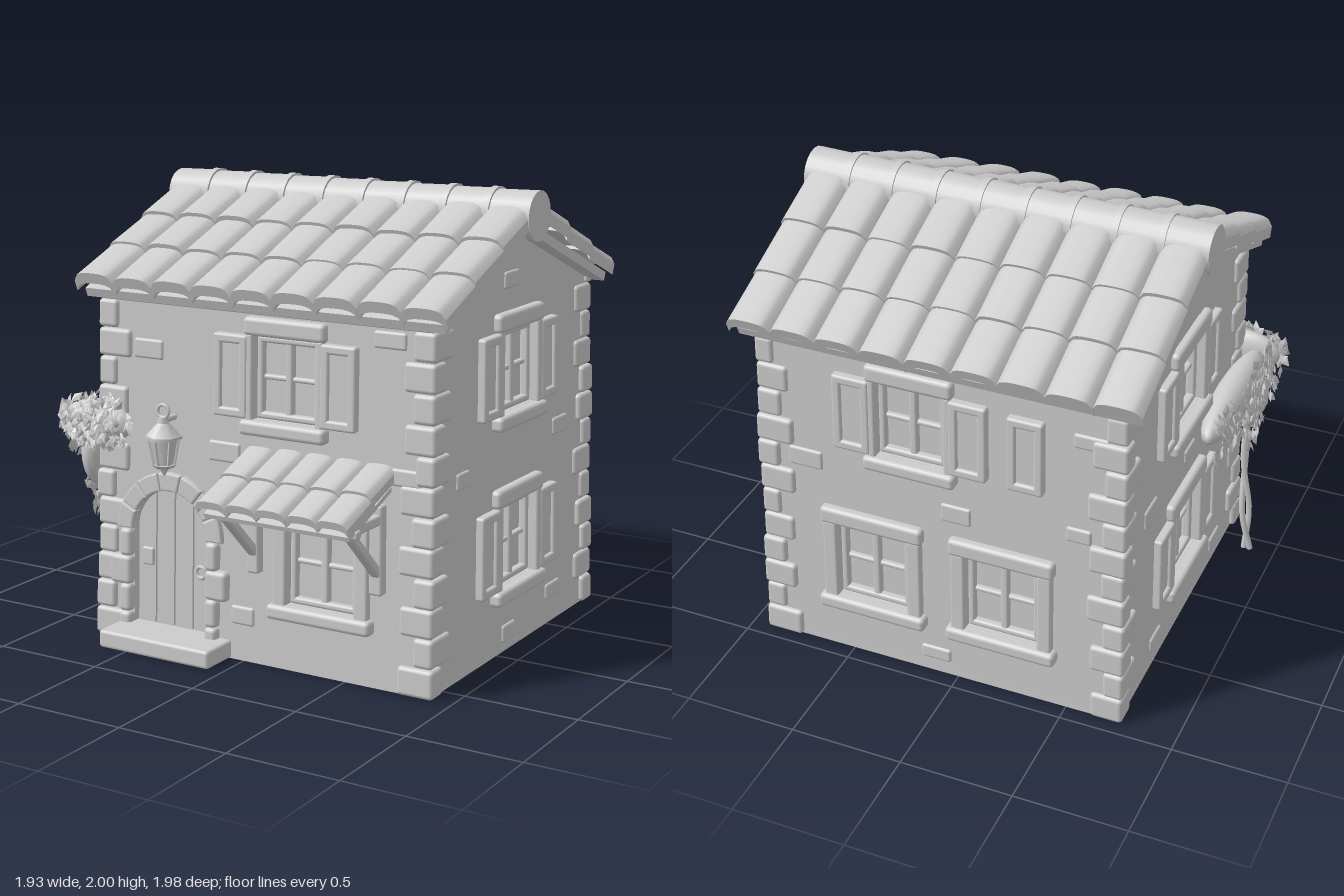
import * as THREE from 'three';
import { mergeGeometries } from 'three/addons/utils/BufferGeometryUtils.js';
import { RoundedBoxGeometry } from 'three/addons/geometries/RoundedBoxGeometry.js';

const CX = 0.08, CZ = -0.155, HX = 0.82, HZ = 0.775, EAVE = 1.54, APEX = 1.8;

export function createModel() {
  const house = new THREE.Group();
  house.name = 'cottage';
  const clay = new THREE.MeshStandardMaterial({ color: 0xcccccc, side: THREE.DoubleSide });
  clay.name = 'pale clay grey';
  let seed = 7;
  const rnd = (a = 0, b = 1) => {
    seed = (seed * 16807) % 2147483647;
    return a + (b - a) * seed / 2147483647;
  };
  const add = (name, geo, parent = house) => {
    const mesh = new THREE.Mesh(geo, clay);
    mesh.name = name;
    parent.add(mesh);
    return mesh;
  };
  const block = (w, h, d, r = 0.012) =>
    new RoundedBoxGeometry(w, h, d, 2, Math.min(r, w * 0.45, h * 0.45, d * 0.45));

  // The house narrows slightly towards the eaves
  const taper = geo => {
    const p = geo.attributes.position;
    for (let i = 0; i < p.count; i++) {
      const y = Math.min(p.getY(i), EAVE);
      p.setX(i, CX + (p.getX(i) - CX) * (1 - 0.016 * y));
      p.setZ(i, CZ + (p.getZ(i) - CZ) * (1 - 0.038 * y));
    }
    return geo;
  };

  // Wall frames: u runs along the wall, y up, d outwards
  const frame = (angle, x, z) => new THREE.Matrix4().makeRotationY(angle).setPosition(x, 0, z);
  const walls = {
    front: { m: frame(0, 0, CZ + HZ), u0: CX - HX, u1: CX + HX, holes: [] },
    right: { m: frame(Math.PI / 2, CX + HX, 0), u0: -CZ - HZ, u1: -CZ + HZ, gable: true, holes: [] },
    back: { m: frame(Math.PI, 0, CZ - HZ), u0: -CX - HX, u1: -CX + HX, holes: [] },
    left: { m: frame(-Math.PI / 2, CX - HX, 0), u0: CZ - HZ, u1: CZ + HZ, gable: true, holes: [] },
  };
  const onWall = (wall, name, geo, u = 0, y = 0, d = 0) =>
    add(name, taper(geo.translate(u, y, d).applyMatrix4(wall.m)));
  const poly = pts => new THREE.Shape(pts.map(p => new THREE.Vector2(p[0], p[1])));

  // Four-pane window with stone surround; y is the sill line, u the middle
  function addWindow(wall, u, y, w, h, surround, shutters) {
    const l = u - w / 2, r = u + w / 2, mid = y + h / 2, s = surround;
    wall.holes.push(poly([[l, y], [l, y + h], [r, y + h], [r, y]]));
    onWall(wall, 'windowPane', new THREE.BoxGeometry(w, h, 0.01), u, mid, -0.065);
    for (const k of [-1, 1]) {
      onWall(wall, 'windowFrameSide', block(0.03, h, 0.04), u + k * (w / 2 - 0.015), mid, -0.03);
      onWall(wall, 'windowFrameRail', block(w, 0.03, 0.04), u, mid + k * (h / 2 - 0.015), -0.03);
      onWall(wall, 'windowJamb', block(s, h + 0.02, 0.06), u + k * (w / 2 + s / 2), mid, 0.002);
    }
    onWall(wall, 'windowMullion', block(0.035, h, 0.04), u, mid, -0.035);
    onWall(wall, 'windowBar', block(w, 0.022, 0.03), u, mid, -0.04);
    onWall(wall, 'windowLintel', block(w + 2 * s + 0.02, 0.08, 0.07, 0.02), u, y + h + 0.04, 0.004);
    onWall(wall, 'windowSill', block(w + 2 * s + 0.04, 0.065, 0.09, 0.02), u, y - 0.033, 0.008);
    for (const k of shutters) addShutter(wall, u + k * (w / 2 + s + 0.075), mid, 0.17, h);
  }
  // Shutter with a raised border round a sunken panel
  function addShutter(wall, u, mid, w, h) {
    onWall(wall, 'shutterPanel', block(w - 0.02, h - 0.02, 0.03), u, mid, 0.005);
    for (const k of [-1, 1]) {
      onWall(wall, 'shutterStile', block(0.04, h, 0.05), u + k * (w / 2 - 0.02), mid, 0.012);
      onWall(wall, 'shutterRail', block(w, 0.04, 0.05), u, mid + k * (h / 2 - 0.02), 0.012);
    }
  }
  addWindow(walls.front, 0.205, 1.06, 0.31, 0.35, 0.035, [-1, 1]);
  addWindow(walls.front, 0.39, 0.29, 0.33, 0.37, 0.065, []);
  for (const [wall, u] of [[walls.right, 0.16], [walls.left, -0.16]]) {
    addWindow(wall, u, 1.06, 0.34, 0.35, 0.045, [-1, 1]);
    addWindow(wall, u, 0.3, 0.34, 0.36, 0.045, [-1, 1]);
  }
  addWindow(walls.back, -0.2, 1.06, 0.31, 0.35, 0.035, [-1, 1]);
  addShutter(walls.back, 0.32, 1.23, 0.16, 0.34);
  addWindow(walls.back, -0.39, 0.29, 0.33, 0.37, 0.065, []);
  addWindow(walls.back, 0.21, 0.29, 0.33, 0.37, 0.065, []);

  // Arched plank door
  const DU = -0.375, DR = 0.195, SPRING = 0.5;
  const archTop = x => SPRING + Math.sqrt(Math.max(0, DR * DR - x * x));
  const archStrip = (a, b) => {
    const pts = [[DU + a, 0.06]];
    for (let i = 0; i <= 16; i++) {
      const x = a + (b - a) * (1 - Math.cos(Math.PI * i / 16)) / 2;
      pts.push([DU + x, archTop(x)]);
    }
    pts.push([DU + b, 0.06]);
    return poly(pts);
  };
  const extrude = (shape, depth, bevel = 0) => new THREE.ExtrudeGeometry(shape, {
    depth, bevelEnabled: bevel > 0, bevelSize: bevel, bevelThickness: bevel, bevelOffset: -bevel, bevelSegments: 2,
  });
  walls.front.holes.push(archStrip(-DR, DR));
  onWall(walls.front, 'doorBack', extrude(archStrip(-DR, DR), 0.02), 0, 0, -0.065);
  for (let i = 0; i < 4; i++) {
    const a = -DR + i * DR / 2;
    onWall(walls.front, 'doorPlank', extrude(archStrip(a + 0.004, a + DR / 2 - 0.004), 0.02), 0, 0, -0.048);
  }
  onWall(walls.front, 'doorLock', block(0.06, 0.08, 0.02), -0.51, 0.38, -0.02);
  onWall(walls.front, 'doorHandle', new THREE.TorusGeometry(0.025, 0.009, 6, 14), -0.225, 0.35, -0.01);
  for (let i = 0; i < 7; i++) {
    const a = Math.PI * i / 7 + 0.008, b = Math.PI * (i + 1) / 7 - 0.008, pts = [];
    for (let j = 0; j <= 4; j++) pts.push([a + (b - a) * j / 4, DR]);
    for (let j = 4; j >= 0; j--) pts.push([a + (b - a) * j / 4, 0.275]);
    const stone = poly(pts.map(([t, r]) => [DU + r * Math.cos(t), SPRING + r * Math.sin(t)]));
    onWall(walls.front, 'doorArchStone', extrude(stone, 0.04, 0.008), 0, 0, -0.02);
  }
  for (const k of [-1, 1]) for (let i = 0; i < 4; i++) {
    const w = i === 2 ? 0.11 : 0.06;
    onWall(walls.front, 'doorJambStone', block(w, i === 2 ? 0.13 : 0.125, 0.07, 0.02),
      DU + k * (DR + w / 2), 0.065 + i * 0.125, 0.005);
  }
  add('doorStep', block(0.57, 0.08, 0.24, 0.015).translate(-0.345, 0.04, 0.68));

  // Walls with openings, and the floor that closes the base
  for (const [name, wall] of Object.entries(walls)) {
    const { u0, u1, gable } = wall;
    const shape = poly([[u0, 0], [u1, 0], [u1, EAVE], ...(gable ? [[(u0 + u1) / 2, APEX]] : []), [u0, EAVE]]);
    shape.holes.push(...wall.holes);
    onWall(wall, name + 'Wall', extrude(shape, 0.07), 0, 0, -0.07);
    if (!gable) onWall(wall, 'cornice', block(u1 - u0 + 0.03, 0.05, 0.06), (u0 + u1) / 2, 1.525, 0);
  }
  add('floor', new THREE.BoxGeometry(2 * HX, 0.02, 2 * HZ).translate(CX, 0.01, CZ));

  // Corner stones, alternating long and short
  for (const sx of [-1, 1]) for (const sz of [-1, 1]) for (let i = 0; i < 12; i++) {
    const long = i % 2 === 0, w = (long ? 0.16 : 0.1) + rnd(-0.015, 0.015), d = (long ? 0.1 : 0.16) + rnd(-0.015, 0.015);
    const out = rnd(0.015, 0.026);
    add('cornerStone', taper(block(w, 0.122, d, 0.018)
      .translate(CX + sx * (HX + out - w / 2), 0.0625 + i * 0.125, CZ + sz * (HZ + out - d / 2))));
  }
  // Stones showing through the plaster
  const patches = { front: [[-0.5, 1.3], [-0.1, 0.9], [0.78, 0.9], [0.0, 0.2], [0.7, 1.45]],
    right: [[-0.35, 0.85], [0.62, 0.9], [0.1, 0.08], [0.55, 0.15], [0.1, 1.62]],
    back: [[0.55, 0.9], [-0.7, 0.95], [0.0, 0.85], [0.6, 1.35], [-0.1, 0.1]],
    left: [[0.3, 0.1], [-0.6, 0.85], [-0.1, 0.85], [-0.5, 0.12], [-0.2, 1.62]] };
  for (const [name, list] of Object.entries(patches)) for (const [u, y] of list)
    onWall(walls[name], 'wallStone', block(rnd(0.1, 0.16), rnd(0.06, 0.09), 0.03), u, y, -0.004);

  // Row of barrel tiles; zl, yl is the lower edge, run and rise lead to the upper edge
  function tileRow(parent, name, x0, x1, cols, zl, yl, run, rise, amp, thick) {
    const w = (x1 - x0) / cols, len = Math.hypot(run, rise), parts = [];
    for (let c = 0; c < cols; c++) {
      const geo = new THREE.BoxGeometry(w * 1.01, thick, len + rnd(0, 0.015), 10, 1, 2), p = geo.attributes.position;
      for (let i = 0; i < p.count; i++) {
        const u = Math.min(1, Math.abs(p.getX(i)) / (w / 2));
        p.setY(i, p.getY(i) + amp * Math.sqrt(Math.max(0, 1 - u * u * u)));
      }
      geo.computeVertexNormals();
      geo.rotateX(Math.atan2(rise, run) + rnd(-0.015, 0.015));
      parts.push(geo.translate(x0 + (c + 0.5) * w, yl + rise / 2 + rnd(-0.004, 0.004), zl - run / 2));
    }
    add(name, mergeGeometries(parts), parent);
  }

  // Two roof slopes about the ridge
  for (const angle of [0, Math.PI]) {
    const slope = new THREE.Group();
    slope.name = angle ? 'backRoofSlope' : 'frontRoofSlope';
    slope.position.set(CX, 0, CZ);
    slope.rotation.y = angle;
    house.add(slope);
    add('roofDeck', new THREE.BoxGeometry(1.74, 0.04, 0.83).rotateX(Math.atan2(0.3, 0.77)).translate(0, 1.675, 0.385), slope);
    for (let k = 0; k < 3; k++)
      tileRow(slope, 'roofTiles', -0.895, 0.895, 9, 0.805 - 0.243 * k, 1.555 + 0.108 * k, 0.262, 0.1, 0.042, 0.05);
  }
  // Ridge tiles with joint collars
  for (let i = 0; i < 9; i++) {
    const x = CX - 0.9 + (i + 0.5) * 0.2;
    add('ridgeTile', new THREE.CylinderGeometry(0.104, 0.108, 0.2, 20).rotateZ(Math.PI / 2).translate(x, 1.882, CZ));
    if (i) add('ridgeCollar', new THREE.CylinderGeometry(0.115, 0.115, 0.03, 20).rotateZ(Math.PI / 2).translate(x - 0.1, 1.882, CZ));
  }

  // Tiled awning on timber brackets
  for (let k = 0; k < 2; k++)
    tileRow(house, 'awningTiles', 0.01, 0.72, 5, 0.965 - 0.18 * k, 0.755 + 0.075 * k, 0.2, 0.07, 0.03, 0.035);
  add('awningDeck', new THREE.BoxGeometry(0.68, 0.02, 0.36).rotateX(0.36).translate(0.365, 0.785, 0.765));
  add('awningBeam', block(0.7, 0.04, 0.04).translate(0.365, 0.725, 0.87));
  for (const x of [0.075, 0.665]) {
    add('bracketPost', block(0.06, 0.38, 0.05).translate(x, 0.6, 0.635));
    add('bracketArm', block(0.05, 0.045, 0.3).translate(x, 0.73, 0.75));
    add('bracketBrace', block(0.045, 0.33, 0.04).rotateX(0.8).translate(x, 0.61, 0.755));
  }

  // Wall lantern
  const lantern = new THREE.Group();
  lantern.name = 'lantern';
  lantern.position.set(-0.355, 0, 0.675);
  house.add(lantern);
  for (const [name, top, bottom, y0, y1] of [['finial', 0.025, 0.004, 0.78, 0.82], ['base', 0.055, 0.04, 0.815, 0.83],
    ['glass', 0.062, 0.042, 0.83, 0.94], ['rim', 0.08, 0.08, 0.94, 0.955], ['cap', 0.025, 0.075, 0.955, 1.01], ['knob', 0.02, 0.025, 1.01, 1.035]])
    add('lantern ' + name, new THREE.CylinderGeometry(top, bottom, y1 - y0, 6).toNonIndexed().translate(0, (y0 + y1) / 2, 0), lantern);
  for (let i = 0; i < 6; i++) {
    const a = i * Math.PI / 3;
    add('lanternBar', block(0.012, 0.115, 0.012, 0.003).rotateX(0.18).translate(0, 0.885, 0.054).rotateY(a), lantern);
  }
  add('lanternRing', new THREE.TorusGeometry(0.028, 0.008, 8, 18).translate(0, 1.06, 0), lantern);
  add('lanternArm', block(0.025, 0.025, 0.11).translate(0, 1.02, -0.05), lantern);

  // Climbing plant: stems, leafy mass and loose leaves
  for (const k of [-1, 1]) {
    const path = new THREE.CatmullRomCurve3([[-0.87 + k * 0.015, 0, 0.42], [-0.85 - k * 0.012, 0.2, 0.43 + k * 0.015],
      [-0.82, 0.5, 0.46 - k * 0.02], [-0.82, 0.9, 0.5 + k * 0.03]].map(p => new THREE.Vector3(...p)));
    add('plantStem', new THREE.TubeGeometry(path, 20, 0.014, 6));
  }
  for (const [x, y, z, a, b, c] of [[-0.74, 0.96, 0.61, 0.17, 0.1, 0.05], [-0.81, 0.94, 0.25, 0.08, 0.1, 0.38], [-0.82, 0.8, 0.5, 0.06, 0.16, 0.12]])
    add('foliageMass', new THREE.SphereGeometry(1, 20, 14).scale(a, b, c).translate(x, y, z));
  const leaves = [];
  const leaf = (x, y, z, yaw) => leaves.push(new THREE.OctahedronGeometry(1).scale(0.02, 0.034, 0.006)
    .rotateZ(rnd(-0.8, 0.8)).rotateX(rnd(-0.6, 0.3)).rotateY(yaw + rnd(-0.6, 0.6)).translate(x, y, z));
  for (let i = 0; i < 130; i++) {
    const t = rnd(0, 6.283), r = Math.sqrt(rnd());
    leaf(-0.745 + 0.2 * r * Math.cos(t), 0.965 + 0.12 * r * Math.sin(t), 0.625 + 0.065 * (1 - r * r), 0);
  }
  for (let i = 0; i < 150; i++) {
    const t = rnd(-1, 1), s = rnd(-1, 1);
    leaf(-0.81 - 0.11 * Math.sqrt(1 - t * t * 0.8) * Math.sqrt(1 - s * s * 0.7), 0.93 + 0.12 * s, 0.25 + 0.4 * t, -Math.PI / 2);
  }
  for (let i = 0; i < 110; i++) {
    const f = Math.sqrt(rnd());
    leaf(-0.8 - rnd(0.02, 0.03 + 0.11 * f), 0.45 + 0.48 * f, 0.49 + rnd(-0.16, 0.14) * (0.3 + 0.7 * f), -Math.PI / 2);
  }
  add('leaves', mergeGeometries(leaves));
  return house;
}
